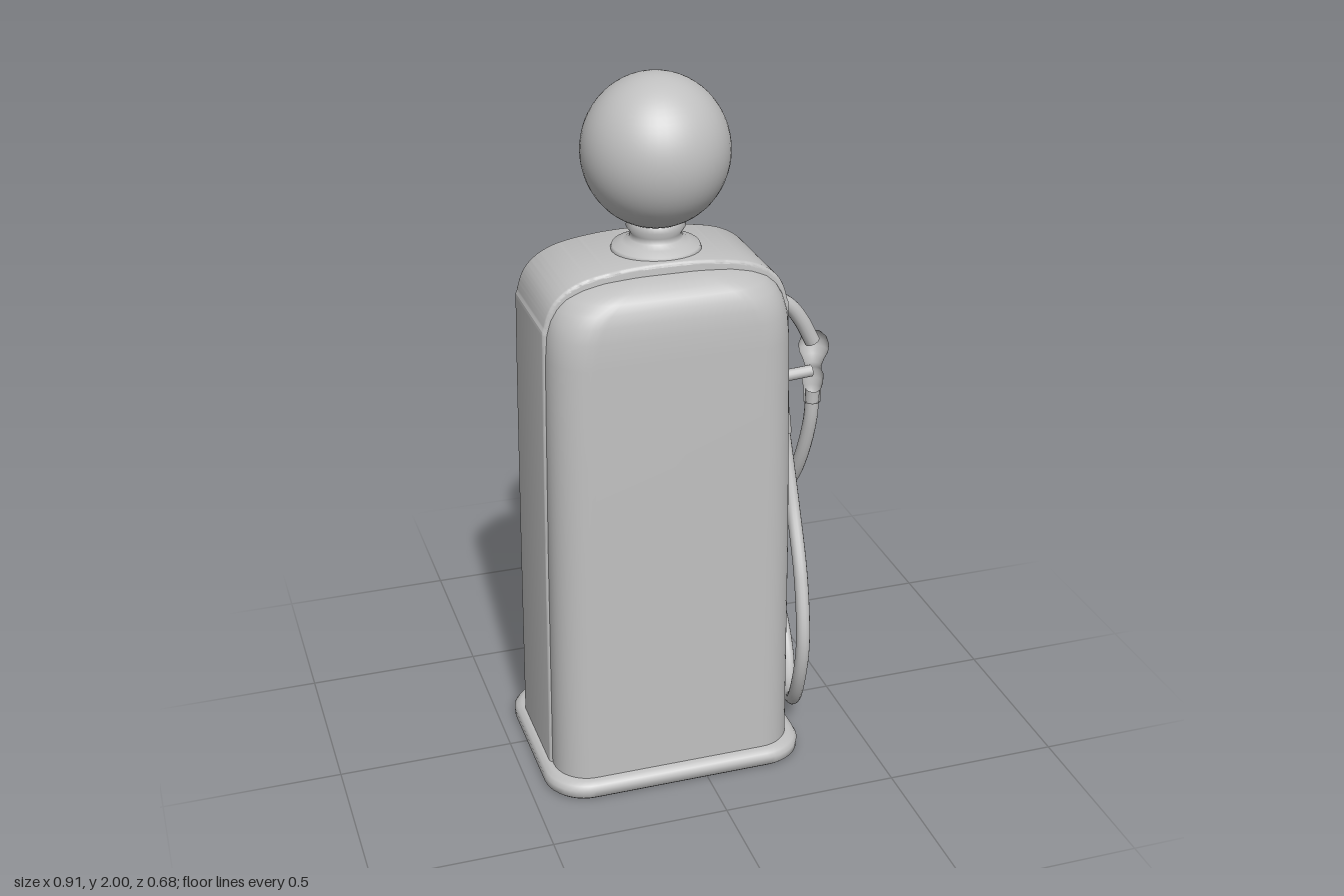
import * as THREE from 'three';
import { toCreasedNormals } from 'three/addons/utils/BufferGeometryUtils.js';

const V = (x, y, z) => new THREE.Vector3(x, y, z);
const CX = -0.073, CZ = 0.05;

// Skin over rounded-rectangle rings: [y, halfWidth, halfDepth, cornerRadius]
function loft(rings, crease) {
  const pos = [], idx = [], K = 10, n = 4 * (K + 1);
  for (const [y, hw, hd, r] of rings) {
    for (let c = 0; c < 4; c++) {
      const sx = c === 0 || c === 3 ? 1 : -1, sz = c < 2 ? 1 : -1;
      for (let k = 0; k <= K; k++) {
        const a = (c + k / K) * Math.PI / 2;
        pos.push(CX + sx * (hw - r) + r * Math.cos(a), y, CZ + sz * (hd - r) + r * Math.sin(a));
      }
    }
  }
  for (let j = 0; j < rings.length - 1; j++) {
    for (let i = 0; i < n; i++) {
      const a = j * n + i, b = j * n + (i + 1) % n;
      idx.push(a, a + n, b, b, a + n, b + n);
    }
  }
  const g = new THREE.BufferGeometry();
  g.setAttribute('position', new THREE.Float32BufferAttribute(pos, 3));
  g.setIndex(idx);
  return toCreasedNormals(g, crease);
}

// Extruded plate with a soft edge, spanning z = 0 to depth
function plate(shape, depth, bevel) {
  const g = new THREE.ExtrudeGeometry(shape, {
    depth: depth - 2 * bevel, bevelThickness: bevel, bevelSize: bevel, bevelOffset: -bevel,
    bevelSegments: 3, curveSegments: 16,
  });
  return toCreasedNormals(g.translate(0, 0, bevel), 0.6);
}

function roundRect(x0, y0, x1, y1, r, Type = THREE.Shape) {
  const s = new Type();
  s.moveTo(x0 + r, y0).lineTo(x1 - r, y0).quadraticCurveTo(x1, y0, x1, y0 + r);
  s.lineTo(x1, y1 - r).quadraticCurveTo(x1, y1, x1 - r, y1).lineTo(x0 + r, y1);
  s.quadraticCurveTo(x0, y1, x0, y1 - r).lineTo(x0, y0 + r).quadraticCurveTo(x0, y0, x0 + r, y0);
  return s;
}

// Door outline with rounded bottom corners and an arched top between two shoulders
function archShape(hw, y0, yShoulder, yTop, notch) {
  const s = new THREE.Shape(), r = 0.06;
  s.moveTo(-hw + r, y0).lineTo(hw - r, y0).quadraticCurveTo(hw, y0, hw, y0 + r).lineTo(hw, yShoulder);
  s.lineTo(hw - notch, yShoulder);
  s.bezierCurveTo(hw * 0.72, yTop - 0.01, hw * 0.4, yTop, 0, yTop);
  s.bezierCurveTo(-hw * 0.4, yTop, -hw * 0.72, yTop - 0.01, -hw + notch, yShoulder);
  s.lineTo(-hw, yShoulder).lineTo(-hw, y0 + r).quadraticCurveTo(-hw, y0, -hw + r, y0);
  return s;
}

export function createModel() {
  const group = new THREE.Group();
  const grey = new THREE.MeshStandardMaterial({ color: 0xc0c0c0 });
  grey.name = 'plain grey';

  const add = (name, geo, x = 0, y = 0, z = 0) => {
    const m = new THREE.Mesh(geo, grey);
    m.name = name;
    m.position.set(x, y, z);
    group.add(m);
    return m;
  };
  const tube = (name, pts, r, seg = 24) =>
    add(name, new THREE.TubeGeometry(new THREE.CatmullRomCurve3(pts), seg, r, 14));
  const lathe = (name, pts, x, y, z) =>
    add(name, new THREE.LatheGeometry(pts.map(p => new THREE.Vector2(...p)), 36), x, y, z);
  const ball = (name, r, x, y, z) => add(name, new THREE.SphereGeometry(r, 20, 14), x, y, z);

  // Base skirt with a recessed underside
  add('base', loft([
    [0.03, 0.01, 0.01, 0.005], [0.03, 0.3, 0.21, 0.07], [0, 0.31, 0.22, 0.08],
    [0, 0.37, 0.28, 0.11], [0.008, 0.379, 0.289, 0.12], [0.03, 0.38, 0.29, 0.12],
    [0.042, 0.374, 0.284, 0.12], [0.05, 0.36, 0.27, 0.11], [0.052, 0.33, 0.24, 0.1],
  ], 0.9));

  // Cabinet, tapering slightly and rounding over at the top
  add('cabinet', loft([
    [0.04, 0.348, 0.258, 0.1], [0.7, 0.343, 0.255, 0.1], [1.3, 0.335, 0.25, 0.11],
    [1.37, 0.33, 0.248, 0.115], [1.41, 0.32, 0.243, 0.12], [1.44, 0.305, 0.236, 0.125],
    [1.465, 0.283, 0.225, 0.13], [1.483, 0.25, 0.206, 0.13], [1.495, 0.21, 0.18, 0.12],
    [1.503, 0.15, 0.14, 0.1], [1.506, 0.01, 0.01, 0.005],
  ], 0.9));

  // Raised band running up the sides and over the top
  const half = [[0.356, 0.045], [0.35, 0.7], [0.342, 1.3], [0.336, 1.39], [0.305, 1.46],
    [0.235, 1.505], [0.12, 1.526], [0, 1.531]];
  const outline = [...half, ...half.slice(0, -1).reverse().map(([x, y]) => [-x, y])];
  const band = new THREE.Shape();
  band.moveTo(...outline[0]);
  band.splineThru(outline.slice(1).map(p => new THREE.Vector2(...p)));
  band.closePath();
  add('centreBand', plate(band, 0.3, 0.01), CX, 0, -0.105);

  // Globe and its collar
  lathe('globeCollar', [[0, 0], [0.118, 0], [0.122, 0.01], [0.118, 0.022], [0.09, 0.032],
    [0.072, 0.042], [0.068, 0.056], [0.08, 0.075], [0.07, 0.09]], -0.063, 1.515, 0.055);
  add('globe', new THREE.SphereGeometry(0.198, 48, 32), -0.063, 1.795, 0.055).scale.y = 1.035;

  // Back door: outer plate, raised inner arch, ribs and studs
  const door = new THREE.Group();
  door.name = 'backDoor';
  door.position.set(CX, 0, -0.19);
  door.rotation.y = Math.PI;
  group.add(door);
  const onDoor = (name, geo, x, y, z) => door.add(add(name, geo, x, y, z));
  onDoor('outerDoorPlate', plate(archShape(0.265, 0.07, 1.2, 1.29, 0.025), 0.028, 0.008), 0, 0, 0);
  onDoor('innerDoorPanel', plate(archShape(0.215, 0.1, 0.98, 1.14, 0), 0.036, 0.007), 0, 0, 0);
  for (const s of [-1, 1]) {
    onDoor('doorRib', plate(roundRect(-0.008, 0.22, 0.008, 0.69, 0.007), 0.012, 0.004), s * 0.035, 0, 0.032);
  }
  onDoor('doorRibCap', plate(roundRect(-0.05, 0.69, 0.05, 0.71, 0.008), 0.014, 0.004), 0, 0, 0.032);
  for (const x of [-0.07, 0, 0.07]) {
    const stud = new THREE.SphereGeometry(0.02, 16, 10).scale(1, 1, 0.5);
    onDoor('doorStud', stud, x, 0.17, 0.036);
  }

  // Pair of hanging hooks on the back
  for (const x of [-0.29, 0.145]) {
    tube('hookArm', [V(x, 1.03, -0.2), V(x, 1.035, -0.25), V(x, 1.02, -0.29), V(x, 0.975, -0.316),
      V(x, 0.94, -0.31)], 0.011);
    add('hookFlange', new THREE.CylinderGeometry(0.022, 0.022, 0.012, 18).rotateX(Math.PI / 2), x, 1.03, -0.228);
    const yoke = new THREE.TorusGeometry(0.02, 0.011, 10, 20, Math.PI).rotateY(Math.PI / 2);
    add('hookYoke', yoke, x, 0.925, -0.305);
    for (const z of [-0.284, -0.326]) {
      add('hookProng', new THREE.CylinderGeometry(0.013, 0.016, 0.09, 14), x, 0.87, z);
      ball('hookKnob', 0.018, x, 0.925, z);
    }
  }

  // Nozzle bracket: framed plate on the left side
  const frame = roundRect(-0.1, 0.97, 0.1, 1.37, 0.03);
  frame.holes.push(roundRect(-0.075, 1.0, 0.075, 1.345, 0.02, THREE.Path));
  add('bracketFrame', plate(frame, 0.03, 0.005), 0.25, 0, 0.025).rotation.y = Math.PI / 2;
  add('bracketPlate', plate(roundRect(-0.045, 1.05, 0.045, 1.29, 0.015), 0.03, 0.005), 0.25, 0, 0.025)
    .rotation.y = Math.PI / 2;

  // Upper arm, elbow bulb and lower support
  const Z = 0.025;
  tube('upperArm', [V(0.25, 1.335, Z), V(0.29, 1.325, Z), V(0.335, 1.295, Z), V(0.372, 1.245, Z),
    V(0.405, 1.18, Z)], 0.022);
  ball('upperArmSocket', 0.034, 0.265, 1.33, Z);
  lathe('elbowBulb', [[0, 0.045], [0.022, 0.04], [0.036, 0.026], [0.043, 0.005], [0.041, -0.015],
    [0.031, -0.036], [0.023, -0.06], [0.025, -0.075], [0.03, -0.085], [0.03, -0.11],
    [0.025, -0.13], [0.024, -0.17], [0, -0.175]], 0.41, 1.165, Z);
  tube('lowerSupport', [V(0.25, 1.08, Z), V(0.33, 1.085, Z), V(0.405, 1.09, Z)], 0.017);
  ball('lowerSupportSocket', 0.03, 0.272, 1.08, Z);

  // Looping hose and its end sleeve
  tube('hose', [V(0.413, 1.03, 0.02), V(0.41, 0.92, 0.012), V(0.393, 0.75, -0.04), V(0.362, 0.53, -0.19),
    V(0.383, 0.33, -0.253), V(0.417, 0.18, -0.2), V(0.408, 0.07, -0.1), V(0.372, 0.034, 0),
    V(0.333, 0.08, 0.14), V(0.315, 0.2, 0.225), V(0.314, 0.34, 0.252), V(0.323, 0.52, 0.2),
    V(0.331, 0.72, 0.095), V(0.325, 0.9, 0.03), V(0.31, 1.02, 0.02)], 0.02, 120);
  tube('hoseSleeve', [V(0.323, 0.91, 0.028), V(0.318, 0.97, 0.023), V(0.309, 1.03, 0.02)], 0.025, 8);
  ball('hoseEnd', 0.025, 0.309, 1.025, 0.02).scale.y = 0.6;

  return group;
}
